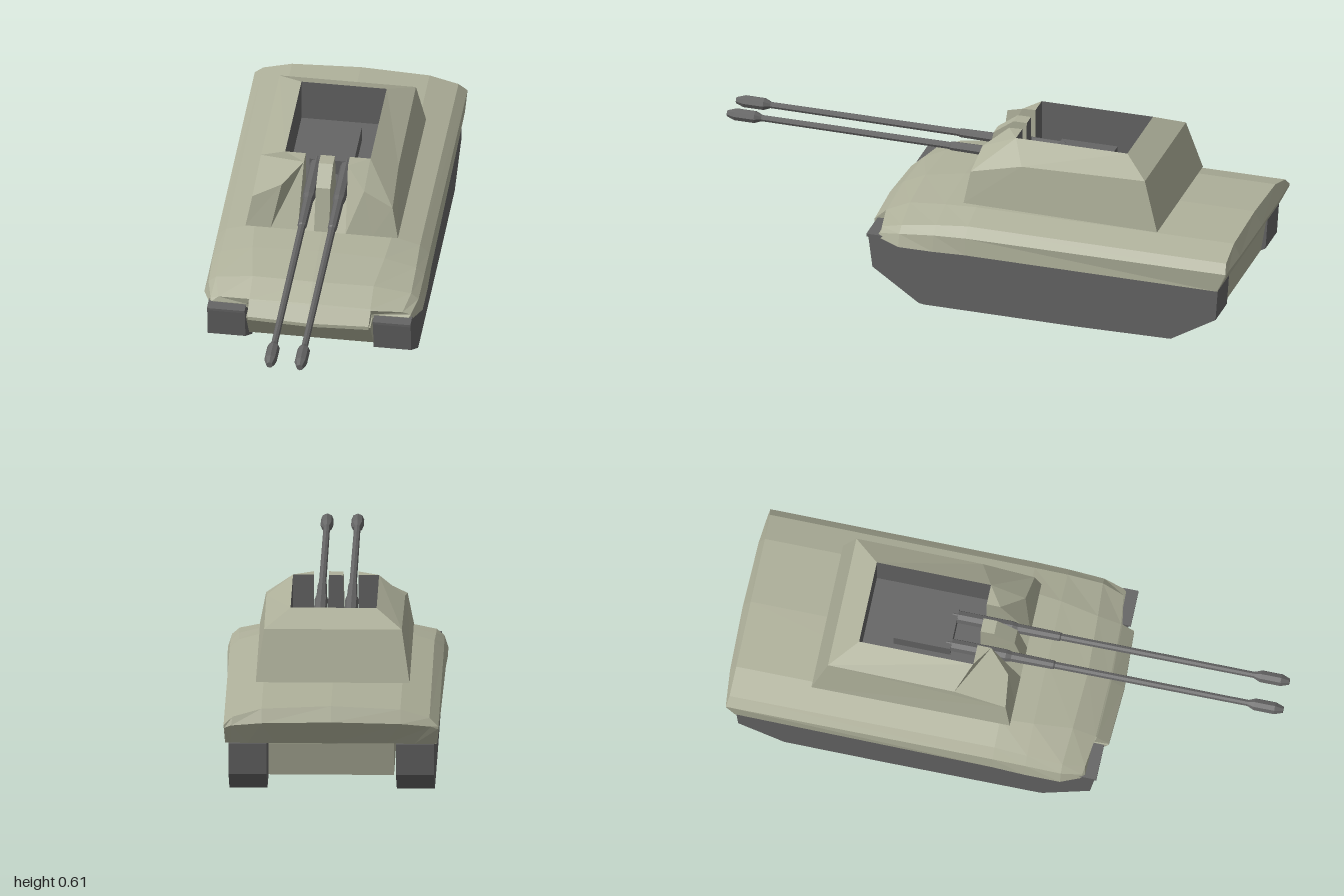
import * as THREE from 'three';

const olive = new THREE.MeshStandardMaterial({ color: 0xaeb09a, flatShading: true, side: THREE.DoubleSide });
olive.name = 'olive';
const gunmetal = new THREE.MeshStandardMaterial({ color: 0x656565, flatShading: true, side: THREE.DoubleSide });
gunmetal.name = 'gunmetal';

function mesh(name, geometry, material) {
  const m = new THREE.Mesh(geometry, material);
  m.name = name;
  return m;
}

// Flat polygons, each a list of corners, fanned into triangles
function facets(polys) {
  const pos = [];
  for (const p of polys)
    for (let i = 1; i < p.length - 1; i++) pos.push(...p[0], ...p[i], ...p[i + 1]);
  const g = new THREE.BufferGeometry();
  g.setAttribute('position', new THREE.Float32BufferAttribute(pos, 3));
  g.computeVertexNormals();
  return g;
}

const flip = ([x, y, z]) => [-x, y, z];
const mirrored = (polys) => facets([...polys, ...polys.map((p) => p.map(flip).reverse())]);

// Side profile of [z, y] points, spread across the width from x0 to x1
function slab(profile, x0, x1) {
  const shape = new THREE.Shape(profile.map(([z, y]) => new THREE.Vector2(z, y)));
  const g = new THREE.ExtrudeGeometry(shape, { depth: x1 - x0, bevelEnabled: false });
  return g.rotateY(-Math.PI / 2).translate(x1, 0, 0);
}

// Upper hull: half sections from bottom centre around to top centre
function upperHull() {
  const halves = [
    [[0, 0.225, -0.95], [0.375, 0.225, -0.95], [0.36, 0.225, -0.95], [0.3, 0.225, -0.95], [0.2, 0.225, -0.95], [0, 0.225, -0.95]],
    [[0, 0.225, -0.95], [0.38, 0.226, -0.95], [0.385, 0.29, -0.982], [0.36, 0.3, -0.985], [0.25, 0.312, -0.995], [0, 0.318, -1]],
    [[0, 0.225, -0.95], [0.382, 0.226, -0.95], [0.387, 0.3, -0.982], [0.355, 0.33, -0.975], [0.25, 0.36, -0.972], [0, 0.371, -0.972]],
    [[0, 0.235, 0], [0.393, 0.236, 0], [0.386, 0.3, 0], [0.352, 0.333, 0], [0.25, 0.362, 0], [0, 0.372, 0]],
    [[0, 0.235, 0.12], [0.397, 0.234, 0.12], [0.385, 0.294, 0.12], [0.355, 0.322, 0.12], [0.24, 0.351, 0.12], [0, 0.36, 0.12]],
    [[0, 0.234, 0.25], [0.397, 0.234, 0.25], [0.382, 0.28, 0.25], [0.355, 0.303, 0.25], [0.22, 0.328, 0.26], [0, 0.333, 0.27]],
    [[0, 0.233, 0.33], [0.37, 0.246, 0.325], [0.364, 0.264, 0.325], [0.335, 0.276, 0.33], [0.22, 0.288, 0.345], [0, 0.294, 0.35]],
    [[0, 0.232, 0.34], [0.362, 0.25, 0.335], [0.358, 0.257, 0.335], [0.23, 0.259, 0.338], [0.222, 0.284, 0.35], [0, 0.29, 0.356]],
  ];
  const rings = halves.map((h) => [...h, ...h.slice(1, -1).reverse().map(flip)]);
  const n = rings[0].length;
  const polys = [rings[rings.length - 1]];
  for (let i = 0; i < rings.length - 1; i++)
    for (let j = 0; j < n; j++) {
      const k = (j + 1) % n;
      polys.push([rings[i][j], rings[i][k], rings[i + 1][k], rings[i + 1][j]]);
    }
  return facets(polys);
}

// Nose wedge standing forward between the tracks
function nose() {
  const top = [0.222, 0.284, 0.35], tip = [0.22, 0.244, 0.393], lip = [0.22, 0.23, 0.393], back = [0.222, 0.23, 0.335];
  const mid = ([, y, z], dy, dz) => [0, y + dy, z + dz];
  const top0 = mid(top, 0.006, 0.006), tip0 = mid(tip, 0, 0.011), lip0 = mid(lip, 0, 0.011);
  return mirrored([
    [top0, tip0, tip, top],
    [tip0, lip0, lip, tip],
    [top, tip, lip, back],
    [lip0, mid(back, 0, 0), back, lip],
  ]);
}

function turret() {
  const g = new THREE.Group();
  g.name = 'turret';
  // Corners of the left half
  const base0 = [0.277, 0.386, 0.04], base1 = [0.277, 0.376, -0.69];
  const side0 = [0.255, 0.505, 0.02], side1 = [0.25, 0.55, -0.17], side2 = [0.248, 0.56, -0.635];
  const roof0 = [0.155, 0.613, -0.12], roof1 = [0.155, 0.613, -0.54];
  const cheek0 = [0.15, 0.56, 0.008], cheek1 = [0.08, 0.611, -0.07], foot = [0.185, 0.386, 0.04];
  const slot0 = [0.087, 0.386, 0.04], slot2 = [0.08, 0.613, -0.12], slot3 = [0.08, 0.455, -0.12];
  const post0 = [0.028, 0.386, 0.04], post1 = [0.026, 0.556, 0.005], post2 = [0.026, 0.611, -0.07];
  const post3 = [0.026, 0.611, -0.12], post4 = [0.03, 0.455, -0.12];
  const mid = ([, y, z]) => [0, y, z];
  const low = ([x, , z]) => [x, 0.45, z];

  g.add(mesh('turretShell', mirrored([
    [base0, base1, side2, side1, side0],
    [foot, base0, side0, cheek0],
    [slot0, foot, cheek0, cheek1],
    [roof0, cheek1, cheek0, side0, side1],
    [side1, side2, roof1, roof0],
    [base1, mid(base1), mid(side2), side2],
    [side2, mid(side2), mid(roof1), roof1],
    [cheek1, roof0, slot2],
    [base0, mid(base0), mid(base1), base1],
  ]), olive));

  // Sloping gun slots either side of a central post
  g.add(mesh('gunSlots', mirrored([
    [slot0, cheek1, slot2, slot3],
    [post0, slot0, slot3, post4],
  ]), olive));
  g.add(mesh('centrePost', mirrored([
    [post0, post4, post3, post2, post1],
    [mid(post0), post0, post1, mid(post1)],
    [mid(post1), post1, post2, mid(post2)],
    [mid(post2), post2, post3, mid(post3)],
  ]), olive));

  // Open crew well
  g.add(mesh('crewWell', mirrored([
    [low(roof0), low(slot2), slot2, roof0],
    [low(roof0), roof0, roof1, low(roof1)],
    [low(mid(roof1)), low(roof1), roof1, mid(roof1)],
    [low(mid(roof0)), low(roof0), low(roof1), low(mid(roof1))],
    [post4, mid(post4), mid(post3), post3],
  ]), gunmetal));
  return g;
}

function guns() {
  const g = new THREE.Group();
  g.name = 'twinGuns';
  g.add(mesh('breech', new THREE.BoxGeometry(0.16, 0.06, 0.21).translate(0, 0.483, -0.325), gunmetal));
  // Receiver, sleeve, barrel and muzzle brake as [radius, z]
  const profile = [[0, -0.24], [0.024, -0.24], [0.024, -0.02], [0.019, 0], [0.017, 0.155], [0.0135, 0.16],
    [0.012, 0.87], [0.023, 0.895], [0.023, 0.97], [0.012, 1], [0, 1]];
  for (const s of [1, -1]) {
    const geo = new THREE.LatheGeometry(profile.map(([r, z]) => new THREE.Vector2(r, z)), 8);
    geo.rotateX(Math.PI / 2 - 0.006).translate(s * 0.055, 0.492, 0);
    g.add(mesh(s > 0 ? 'leftGun' : 'rightGun', geo, gunmetal));
  }
  return g;
}

export function createModel() {
  const model = new THREE.Group();
  model.name = 'antiAircraftTank';

  model.add(mesh('upperHull', upperHull(), olive));
  model.add(mesh('nose', nose(), olive));
  const belly = [[0.39, 0.238], [-0.945, 0.238], [-0.945, 0.222], [-0.925, 0.1], [0.31, 0.113]];
  model.add(mesh('lowerHull', slab(belly, -0.226, 0.226), olive));

  // Tracks
  const track = [[0.378, 0.256], [0.378, 0.246], [0.37, 0.244], [0.355, 0.127], [0.18, 0.006], [0.16, 0.003],
    [-0.4, 0], [-0.77, 0.004], [-0.94, 0.105], [-0.948, 0.222], [0, 0.236], [0.2, 0.242], [0.33, 0.256]];
  model.add(mesh('leftTrack', slab(track, 0.233, 0.37), gunmetal));
  model.add(mesh('rightTrack', slab(track, -0.37, -0.233), gunmetal));

  model.add(turret(), guns());
  return model;
}
